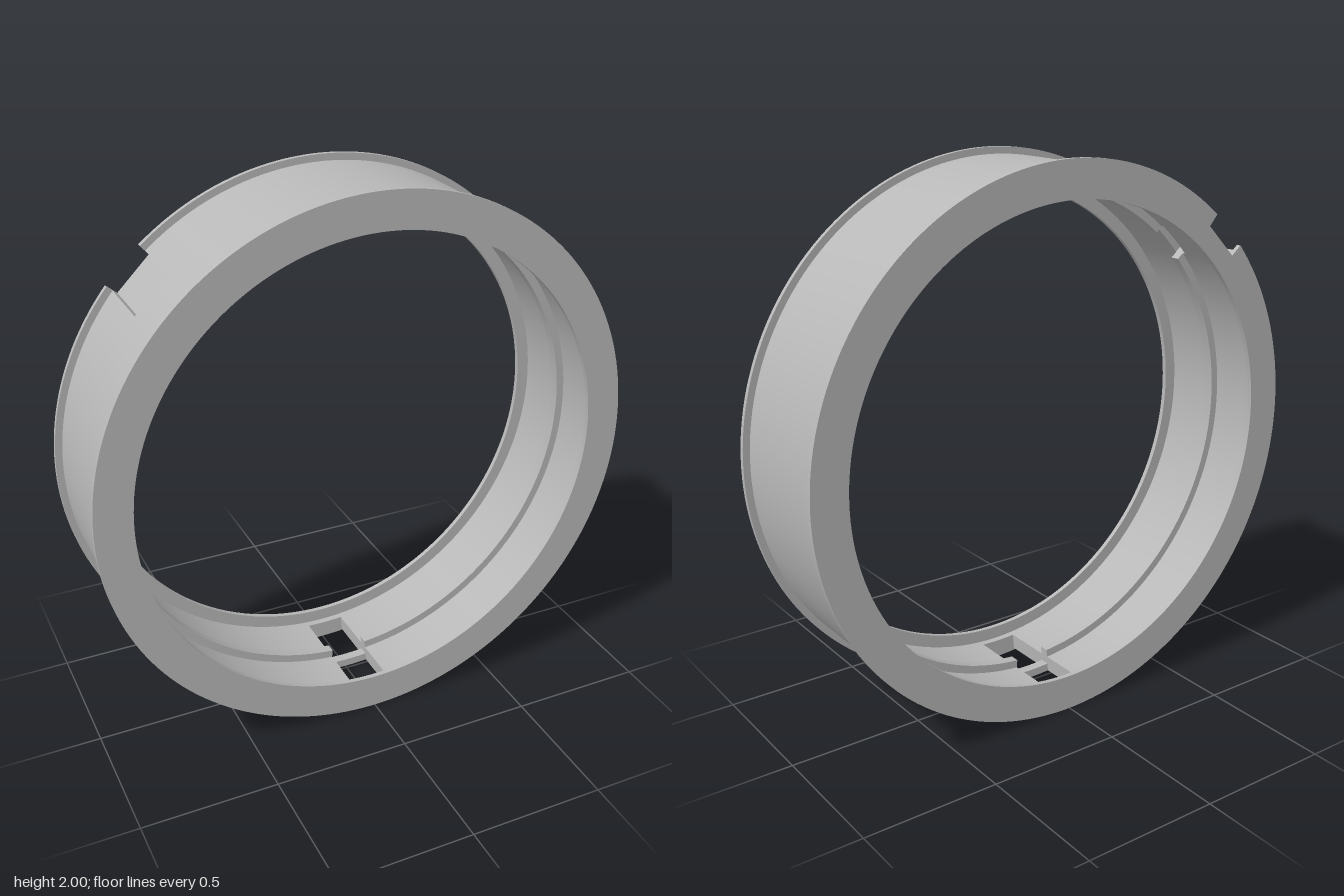
import * as THREE from 'three';
import { mergeGeometries, toCreasedNormals } from 'three/addons/utils/BufferGeometryUtils.js';

const LIP = 0.867, RIB = 0.885, INNER = 0.915, OUTER = 0.975, RIM = 1;
const FLOOR = 0.945;              // distance of the flat notch floor from the axis
const Z = 0.253, ZF = 0.235;      // outer and inner faces of the flanges
const NOTCH = Math.PI * 0.75, NH = 0.0875;   // notch angle and half width
const WIN = Math.PI * 1.5, WH = 0.078;       // bottom window angle and half width

// Angular zones: the notch, the window and the two plain arcs between them
const notch = [NOTCH - NH, NOTCH + NH];
const left = [NOTCH + NH, WIN - WH];
const win = [WIN - WH, WIN + WH];
const right = [WIN + WH, NOTCH - NH + Math.PI * 2];

// Arc-shaped block between two radii; flat = true makes its outer side a straight chord
function block([a0, a1], ri, ro, z0, z1, flat = false) {
  const n = Math.max(4, Math.ceil((a1 - a0) / (Math.PI * 2) * 180));
  const pts = [];
  const add = (r, a) => pts.push(new THREE.Vector2(r * Math.cos(a), r * Math.sin(a)));
  if (flat) {
    const r = ro / Math.cos((a1 - a0) / 2);
    add(r, a0);
    add(r, a1);
  } else {
    for (let i = 0; i <= n; i++) add(ro, a0 + (a1 - a0) * i / n);
  }
  for (let i = n; i >= 0; i--) add(ri, a0 + (a1 - a0) * i / n);
  const g = new THREE.ExtrudeGeometry(new THREE.Shape(pts), { depth: z1 - z0, bevelEnabled: false });
  return g.translate(0, 0, z0);
}

export function createModel() {
  const group = new THREE.Group();
  group.name = 'flangedRing';
  const grey = new THREE.MeshStandardMaterial({ color: 0xb8b8b8 });
  grey.name = 'grey';

  const part = (name, blocks) => {
    const mesh = new THREE.Mesh(toCreasedNormals(mergeGeometries(blocks), 0.5), grey);
    mesh.name = name;
    mesh.position.y = 1;
    group.add(mesh);
  };

  // Flanges: the back one is cut by the notch
  part('frontFlange', [notch, left, win, right].map(s => block(s, LIP, RIM, ZF, Z)));
  part('backFlange', [
    ...[left, win, right].map(s => block(s, LIP, RIM, -Z, -ZF)),
    block(notch, LIP, FLOOR, -Z, -ZF, true),
  ]);

  // Wall: plain arcs, notch with a through slot at its end, and window edges
  part('wall', [
    ...[left, right].map(s => block(s, INNER, OUTER, -ZF, ZF)),
    block(notch, INNER, OUTER, 0.02, ZF),
    block(notch, INNER, FLOOR, -ZF, -0.03, true),
    block(win, INNER, OUTER, 0.21, ZF),
    block(win, INNER, OUTER, -ZF, -0.21),
  ]);

  // Rib around the inside, interrupted at the slot and the window
  part('innerRib', [left, right].map(s => block(s, RIB, INNER, -0.018, 0.018)));

  // Thin bar that divides the window
  part('windowBar', [block(win, FLOOR, OUTER, -0.018, 0.018)]);

  return group;
}
